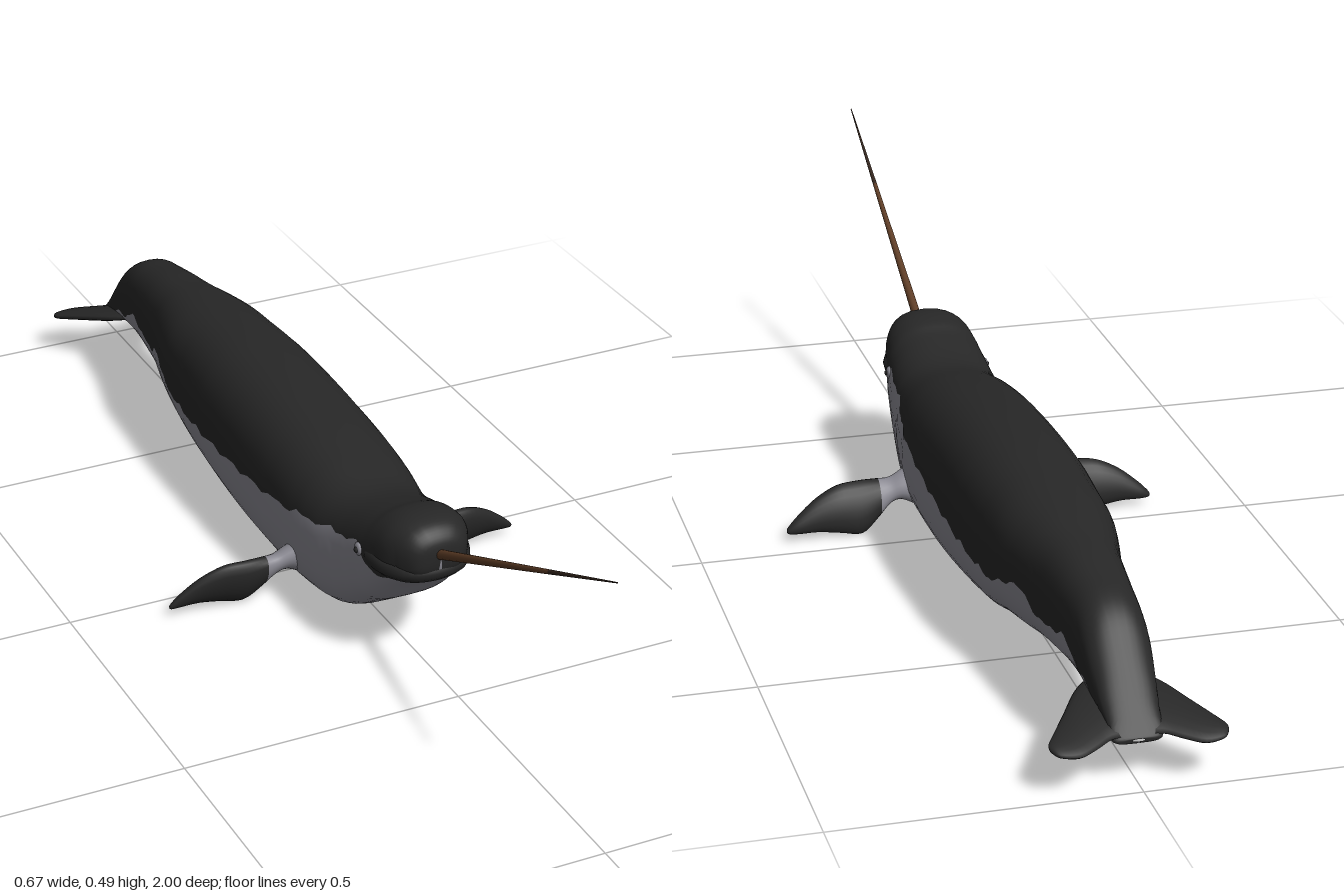
import * as THREE from 'three';

const material = (name, color) => {
  const m = new THREE.MeshStandardMaterial({ color });
  m.name = name;
  return m;
};

// Skin closed rings of points; isSecond(ring, column) picks the second material.
function loft(rings, isSecond = () => false) {
  const n = rings[0].length, sets = [[], []];
  for (let i = 0; i < rings.length - 1; i++) {
    for (let j = 0; j < n; j++) {
      const a = i * n + j, b = i * n + (j + 1) % n;
      sets[isSecond(i, j) ? 1 : 0].push(a, a + n, b, b, a + n, b + n);
    }
  }
  const g = new THREE.BufferGeometry();
  g.setAttribute('position', new THREE.Float32BufferAttribute(rings.flat(2), 3));
  g.setIndex([...sets[0], ...sets[1]]);
  g.addGroup(0, sets[0].length, 0);
  g.addGroup(sets[0].length, sets[1].length, 1);
  g.computeVertexNormals();
  return g;
}

// Smoothly sample every column of a table, with several steps per row.
function sample(rows, steps) {
  const out = [], row = i => rows[Math.min(Math.max(i, 0), rows.length - 1)];
  for (let k = 0; k <= (rows.length - 1) * steps; k++) {
    const i = Math.floor(k / steps), t = k / steps - i;
    out.push(rows[0].map((_, c) => {
      const [a, b, d, e] = [-1, 0, 1, 2].map(o => row(i + o)[c]);
      return b + 0.5 * t * (d - a + t * (2 * a - 5 * b + 4 * d - e + t * (3 * (b - d) + e - a)));
    }));
  }
  return out;
}

// Nose to tail: z, top, bottom, half width, height of the colour border
const BODY = [
  [0.43, 0.24, 0.235, 0.004, 0.17], [0.425, 0.265, 0.205, 0.04, 0.17],
  [0.405, 0.285, 0.185, 0.062, 0.175], [0.37, 0.292, 0.155, 0.08, 0.18],
  [0.33, 0.287, 0.113, 0.088, 0.19], [0.29, 0.272, 0.085, 0.094, 0.212],
  [0.2, 0.252, 0.03, 0.104, 0.195], [0.1, 0.268, 0.014, 0.117, 0.18],
  [0, 0.283, 0.012, 0.121, 0.165], [-0.15, 0.297, 0.016, 0.121, 0.15],
  [-0.3, 0.302, 0.033, 0.118, 0.14], [-0.42, 0.298, 0.05, 0.11, 0.135],
  [-0.5, 0.292, 0.072, 0.104, 0.145], [-0.57, 0.285, 0.08, 0.09, 0.172],
  [-0.63, 0.277, 0.088, 0.076, 0.15], [-0.69, 0.27, 0.094, 0.068, 0.145],
  [-0.75, 0.26, 0.1, 0.062, 0.163], [-0.8, 0.25, 0.1, 0.058, 0.14],
  [-0.84, 0.228, 0.098, 0.056, 0.13], [-0.88, 0.185, 0.09, 0.052, 0.115],
  [-0.93, 0.125, 0.078, 0.045, 0.09], [-0.965, 0.085, 0.07, 0.04, 0.06],
  [-0.97, 0.078, 0.074, 0.01, 0.06],
];

function bodyGeometry() {
  const N = 20;
  const power = (v, p) => Math.sign(v) * Math.abs(v) ** p;
  const rings = sample(BODY, 5).map(([z, top, bottom, w, border]) => {
    const yc = (top + bottom) / 2, h = Math.max((top - bottom) / 2, 0.001);
    // slightly ragged edge between the dark back and the pale belly
    const ragged = border + 0.004 * Math.sin(z * 71) + 0.003 * Math.sin(z * 133 + 1);
    const u = THREE.MathUtils.clamp((ragged - yc) / h, -1, 0.9);
    const exponent = s => (s > 0 ? 2.4 : 3.1);
    const a = Math.max(Math.asin(power(u, exponent(u) / 2)), -1.55);
    return Array.from({ length: 2 * N }, (_, j) => {
      const angle = j < N ? a + (Math.PI - 2 * a) * j / N
        : Math.PI - a + (Math.PI + 2 * a) * (j - N) / N;
      const s = Math.sin(angle), p = 2 / exponent(s);
      return [w * power(Math.cos(angle), p), yc + h * power(s, p), z];
    });
  });
  return loft(rings, (i, j) => j >= N);
}

// Root to tip: x, top, bottom, centre z, half thickness
const FLIPPER = [
  [0.1, 0.115, 0.045, 0.078, 0.028], [0.125, 0.102, 0.056, 0.077, 0.022],
  [0.145, 0.093, 0.05, 0.076, 0.019], [0.17, 0.093, 0.026, 0.073, 0.021],
  [0.2, 0.093, 0.003, 0.069, 0.022], [0.24, 0.09, 0.009, 0.065, 0.02],
  [0.28, 0.072, 0.015, 0.061, 0.015], [0.315, 0.045, 0.015, 0.057, 0.01],
  [0.333, 0.027, 0.016, 0.056, 0.005], [0.336, 0.022, 0.02, 0.056, 0.001],
];

function flipperGeometry(side) {
  const rows = sample(FLIPPER, 4);
  const rings = rows.map(([x, top, bottom, zc, t]) => Array.from({ length: 20 }, (_, j) => {
    const a = j / 20 * Math.PI * 2, dy = Math.sin(a) * (top - bottom) / 2;
    return [side * x, (top + bottom) / 2 + dy, zc + side * Math.cos(a) * t + 0.3 * dy];
  }));
  return loft(rings, i => rows[i][0] < 0.158);
}

// Centre to tip: x, leading z, trailing z, half thickness
const FLUKE = [
  [0, -0.83, -0.965, 0.01], [0.04, -0.83, -0.968, 0.011], [0.07, -0.855, -0.985, 0.011],
  [0.1, -0.9, -0.999, 0.01], [0.13, -0.945, -0.993, 0.007], [0.141, -0.962, -0.98, 0.004],
  [0.143, -0.97, -0.972, 0.001],
];

function flukeGeometry(side) {
  return loft(sample(FLUKE, 4).map(([x, front, back, t]) => Array.from({ length: 16 }, (_, j) => {
    const a = j / 16 * Math.PI * 2;
    const z = (front + back) / 2 + side * Math.cos(a) * (front - back) / 2;
    return [side * x, 0.073 + (z + 1) * 0.27 + Math.sin(a) * t, z];
  })));
}

export function createModel() {
  const dark = material('dark back skin', 0x272727);
  const pale = material('pale belly skin', 0x8a8992);
  const brown = material('tusk brown', 0x5e3d26);
  const tipBrown = material('tusk tip brown', 0x34261d);
  const model = new THREE.Group();
  const add = (name, geometry, mat) => {
    const mesh = new THREE.Mesh(geometry, mat);
    mesh.name = name;
    model.add(mesh);
    return mesh;
  };

  add('body', bodyGeometry(), [dark, pale]);

  // broad lip wrapped round the snout
  const lip = new THREE.CatmullRomCurve3([[-0.07, 0.32], [-0.066, 0.36], [-0.042, 0.397],
    [0, 0.408], [0.042, 0.397], [0.066, 0.36], [0.07, 0.32]]
    .map(([x, z]) => new THREE.Vector3(x, 0.204, z)));
  add('lip', new THREE.TubeGeometry(lip, 32, 0.021, 12), dark);

  for (const [side, label] of [[1, 'left'], [-1, 'right']]) {
    add(label + 'Flipper', flipperGeometry(side), [dark, pale]);
    add(label + 'Fluke', flukeGeometry(side), dark);
    const lid = add(label + 'Eyelid', new THREE.SphereGeometry(0.012, 16, 10), pale);
    lid.position.set(side * 0.09, 0.206, 0.3);
    lid.scale.x = 0.5;
    const eye = add(label + 'Eye', new THREE.SphereGeometry(0.006, 12, 8), dark);
    eye.position.set(side * 0.093, 0.206, 0.301);
  }

  // long straight tapering tusk in two shades
  const base = new THREE.Vector3(0, 0.232, 0.41), tip = new THREE.Vector3(0, 0.495, 1);
  const tusk = (name, t0, t1, r0, r1, mat) => {
    const a = base.clone().lerp(tip, t0), b = base.clone().lerp(tip, t1);
    const mesh = add(name, new THREE.CylinderGeometry(r1, r0, a.distanceTo(b), 12), mat);
    mesh.position.copy(a).add(b).multiplyScalar(0.5);
    mesh.quaternion.setFromUnitVectors(new THREE.Vector3(0, 1, 0), b.sub(a).normalize());
  };
  tusk('tusk', 0, 0.65, 0.009, 0.004, brown);
  tusk('tuskTip', 0.65, 1, 0.004, 0.001, tipBrown);
  return model;
}
